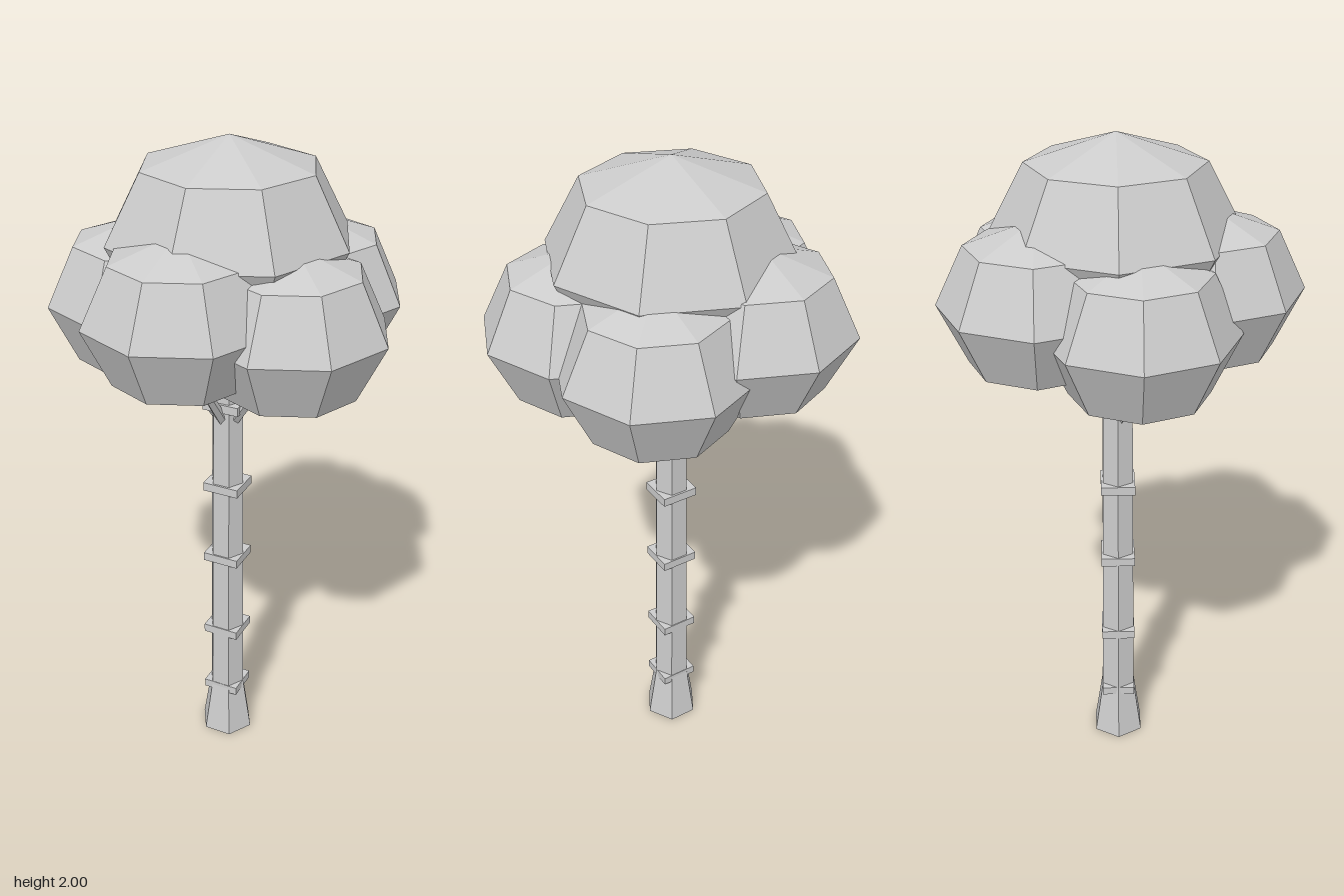
import * as THREE from 'three';

export function createModel() {
  const tree = new THREE.Group();
  tree.name = 'tree';
  const material = new THREE.MeshStandardMaterial({ color: 0xcccccc, flatShading: true });
  const axisX = 0.003, axisZ = -0.017; // trunk axis

  function add(name, geometry, x, y, z) {
    const mesh = new THREE.Mesh(geometry, material);
    mesh.name = name;
    mesh.position.set(x, y, z);
    tree.add(mesh);
    return mesh;
  }

  // Six-sided trunk with a flared foot; corners point along +x and -x
  function trunkPart(name, rTop, rBottom, y0, y1) {
    const geometry = new THREE.CylinderGeometry(rTop, rBottom, y1 - y0, 6);
    geometry.rotateY(Math.PI / 2);
    add(name, geometry, axisX, (y0 + y1) / 2, axisZ);
  }
  trunkPart('trunkFoot', 0.056, 0.087, 0, 0.2);
  trunkPart('trunk', 0.048, 0.059, 0.14, 1.56);

  // Square bands round the trunk
  for (const y of [0.172, 0.4, 0.678, 0.933, 1.21]) {
    add('trunkBand', new THREE.BoxGeometry(0.114, 0.027, 0.104), axisX, y, axisZ);
  }

  // Crown: x, y, z, radius, half height
  const lobes = [
    ['frontLobe', -0.015, 1.565, 0.234, 0.277, 0.237],
    ['leftLobe', 0.24, 1.52, 0.08, 0.278, 0.24],
    ['rightLobe', -0.243, 1.52, 0.038, 0.277, 0.24],
    ['backLeftLobe', 0.171, 1.52, -0.212, 0.278, 0.24],
    ['backRightLobe', -0.126, 1.565, -0.236, 0.279, 0.237],
  ];
  function lobe(name, x, y, z, radius, halfHeight) {
    add(name, new THREE.SphereGeometry(radius, 8, 4), x, y, z).scale.y = halfHeight / radius;
  }
  lobe('topLobe', 0.005, 1.725, -0.02, 0.355, 0.275);

  // Each lower lobe has a slanting branch reaching up into it
  const up = new THREE.Vector3(0, 1, 0);
  for (const data of lobes) {
    lobe(...data);
    const out = new THREE.Vector3(data[1] - axisX, 0, data[3] - axisZ).normalize();
    const start = new THREE.Vector3(axisX, 1.15, axisZ).addScaledVector(out, 0.02);
    const end = new THREE.Vector3(axisX, 1.42, axisZ).addScaledVector(out, 0.22);
    const along = end.clone().sub(start);
    const middle = start.clone().add(end).multiplyScalar(0.5);
    const branch = add('branch', new THREE.CylinderGeometry(0.012, 0.017, along.length(), 5), ...middle.toArray());
    branch.quaternion.setFromUnitVectors(up, along.normalize());
  }
  return tree;
}
